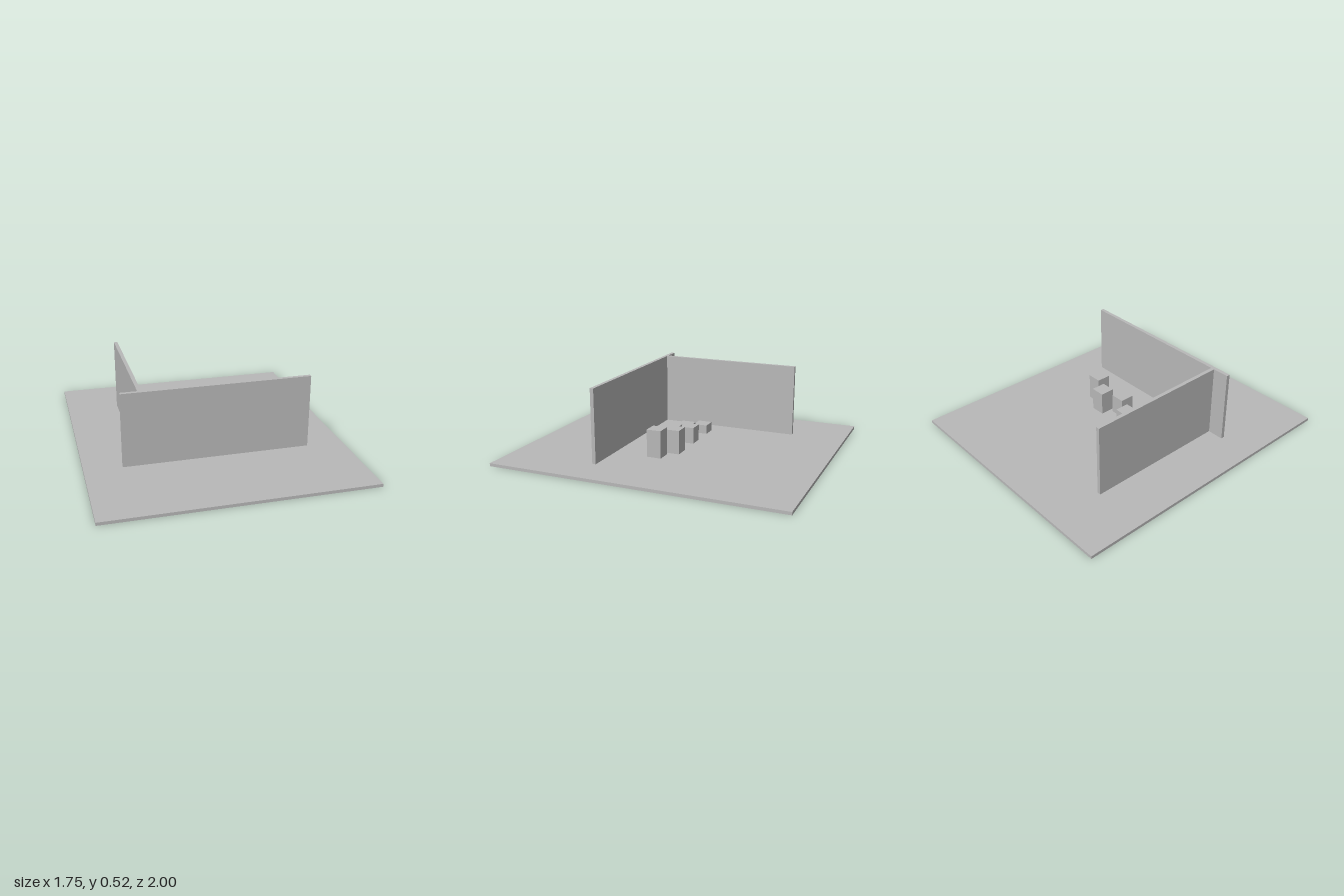
import * as THREE from 'three';

// Base plate with two walls forming a corner and a staggered row of blocks
export function createModel() {
  const model = new THREE.Group();
  const grey = new THREE.MeshStandardMaterial({ color: 0xb8b8b8 });
  grey.name = 'plain grey';

  const baseTop = 0.02;

  // Box centred on (x, z) and standing at height y
  function addBox(name, width, height, depth, x, y, z) {
    const mesh = new THREE.Mesh(new THREE.BoxGeometry(width, height, depth), grey);
    mesh.name = name;
    mesh.position.set(x, y + height / 2, z);
    model.add(mesh);
  }

  addBox('basePlate', 1.75, baseTop, 2, 0, 0, 0);

  // Walls
  addBox('frontWall', 1.25, 0.5, 0.025, 0, baseTop, 0.375);
  addBox('sideWall', 0.025, 0.5, 0.9875, -0.5, baseTop, -0.13125);

  // Blocks alternate between two rows and grow taller toward +x
  for (let i = 0; i < 6; i++) {
    const height = 0.0625 + 0.025 * i;
    addBox(`block${i + 1}`, 0.1, height, 0.1, -0.3125 + 0.125 * i, baseTop, i % 2 ? 0.075 : 0);
  }

  return model;
}
